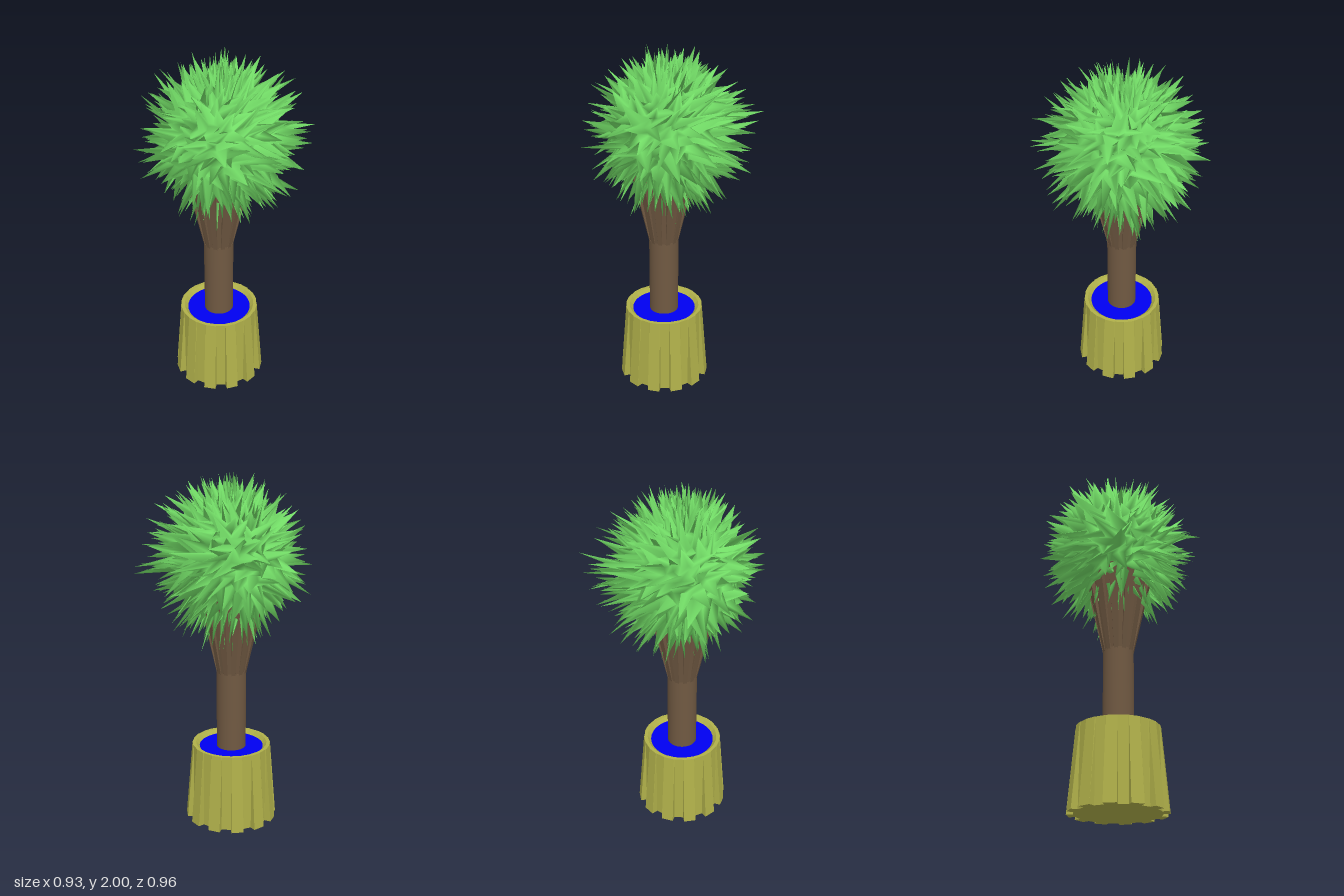
import * as THREE from 'three';

const mat = (color, extra = {}) => new THREE.MeshStandardMaterial({ color, side: THREE.DoubleSide, ...extra });

// Small seeded generator, 0..1
function seeded(seed) {
  return () => {
    seed = (seed * 1664525 + 1013904223) % 4294967296;
    return seed / 4294967296;
  };
}

// Skin over closed rings of points, listed from bottom to top
function skin(rings) {
  const n = rings[0].length, index = [];
  for (let i = 0; i < rings.length - 1; i++) {
    for (let j = 0; j < n; j++) {
      const a = i * n + j, b = i * n + (j + 1) % n;
      index.push(a, b, b + n, a, b + n, a + n);
    }
  }
  const g = new THREE.BufferGeometry().setFromPoints(rings.flat());
  g.setIndex(index);
  g.computeVertexNormals();
  return g;
}

// Ring of broad teeth: rOut on the ridges, rIn in the grooves
function toothedRing(teeth, y, rOut, rIn = rOut) {
  const ring = [];
  for (let k = 0; k < teeth; k++) {
    for (const [t, r] of [[0, rOut], [0.5, rOut], [0.53, rIn], [0.97, rIn]]) {
      const a = (k + t) / teeth * Math.PI * 2;
      ring.push(new THREE.Vector3(Math.sin(a) * r, y, Math.cos(a) * r));
    }
  }
  return ring;
}

// Ball of foliage: every second point of every second ring is pulled out to a long spike
function foliageGeometry() {
  const rand = seeded(29), cols = 52, rows = 42, rings = [];
  for (let i = 0; i <= rows; i++) {
    const ring = [], pole = i === 0 || i === rows;
    for (let j = 0; j < cols; j++) {
      const spike = i % 2 === 1 && (j + (i >> 1)) % 2 === 0;
      let polar = Math.PI * (1 - i / rows);
      let turn = j / cols * Math.PI * 2;
      let r = 0.27;
      if (!pole) {
        const lean = spike ? 1 : 0.3;
        polar += (rand() - 0.5) * 0.26 * lean;
        turn += (rand() - 0.5) * 0.36 * lean;
        r = spike
          ? 0.35 + rand() * 0.115 + rand() * 0.075 * Math.sin(polar / 2)
          : 0.25 + rand() * 0.05;
      }
      // The widest spikes reach a little further to the back
      const sway = spike ? -0.035 * Math.sin(polar) : 0;
      ring.push(new THREE.Vector3(
        Math.sin(polar) * Math.sin(turn) * r,
        Math.cos(polar) * r,
        Math.sin(polar) * Math.cos(turn) * r + sway));
    }
    rings.push(ring);
  }
  return skin(rings);
}

export function createModel() {
  const model = new THREE.Group();
  model.name = 'pottedTree';
  const add = (name, geometry, material, x, y, z) => {
    const mesh = new THREE.Mesh(geometry, material);
    mesh.name = name;
    mesh.position.set(x, y, z);
    model.add(mesh);
  };
  const bark = 0x705942;
  const cx = -0.01, cz = 0.05;

  // Pot: toothed foot running up into a round rim, hollowed down to the soil
  add('pot', skin([
    toothedRing(12, 0, 0),
    toothedRing(12, 0, 0.264, 0.228),
    toothedRing(12, 0.45, 0.226, 0.224),
    toothedRing(12, 0.45, 0.205),
    toothedRing(12, 0.425, 0.18),
  ]), mat(0xb0b04a, { flatShading: true }), cx, 0, cz);

  // Soil
  add('soil', new THREE.CircleGeometry(0.184, 48).rotateX(-Math.PI / 2), mat(0x0000f0), cx, 0.43, cz);

  // Straight trunk
  add('trunk', new THREE.CylinderGeometry(0.084, 0.084, 0.48, 48), mat(bark), cx, 0.65, cz);

  // Fluted flare that carries the crown
  add('trunkFlare', skin([
    toothedRing(12, 0.88, 0.084, 0.082),
    toothedRing(12, 1.38, 0.198, 0.168),
    toothedRing(12, 1.38, 0),
  ]), mat(bark, { flatShading: true }), cx, 0, cz);

  // Spiky crown
  add('foliage', foliageGeometry(), mat(0x72dc66), -0.005, 1.535, 0.04);

  return model;
}
